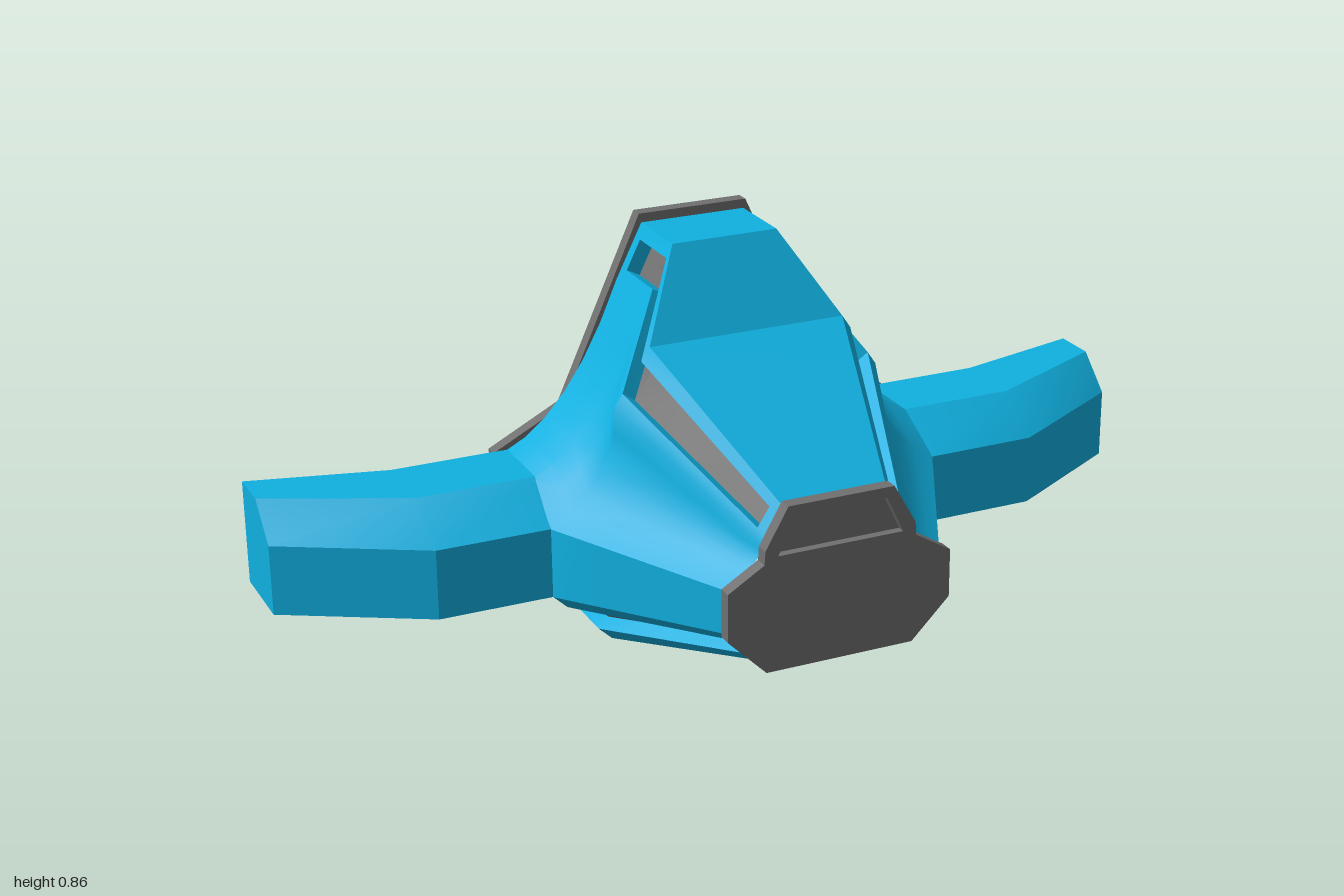
import * as THREE from 'three';
import { toCreasedNormals } from 'three/addons/utils/BufferGeometryUtils.js';

const BLUE = new THREE.MeshStandardMaterial({ color: 0x10b0e0 });
const GREY = new THREE.MeshStandardMaterial({ color: 0x707070 });

function add(parent, name, geometry, material) {
  const mesh = new THREE.Mesh(geometry, material);
  mesh.name = name;
  parent.add(mesh);
  return mesh;
}

// Skin over rings of [x, y, z]; each ring runs counter-clockwise seen from the first end.
function loft(rings, closed = true, capped = false) {
  const pos = [];
  const [u, v] = [new THREE.Vector3(), new THREE.Vector3()];
  const tri = (a, b, c) => {
    u.set(b[0] - a[0], b[1] - a[1], b[2] - a[2]);
    v.set(c[0] - a[0], c[1] - a[1], c[2] - a[2]);
    if (u.cross(v).length() > 1e-9) pos.push(...a, ...b, ...c);
  };
  const n = rings[0].length;
  for (let i = 0; i < rings.length - 1; i++) {
    for (let j = 0; j < (closed ? n : n - 1); j++) {
      const k = (j + 1) % n, p = rings[i], q = rings[i + 1];
      tri(p[j], q[j], q[k]);
      tri(p[j], q[k], p[k]);
    }
  }
  if (capped) {
    const p = rings[0], q = rings[rings.length - 1];
    for (let j = 1; j < n - 1; j++) {
      tri(p[0], p[j], p[j + 1]);
      tri(q[0], q[j + 1], q[j]);
    }
  }
  const g = new THREE.BufferGeometry();
  g.setAttribute('position', new THREE.Float32BufferAttribute(pos, 3));
  return toCreasedNormals(g, 0.5);
}

const mirrorRing = ring => ring.map(([x, y, z]) => [-x, y, z]).reverse();

// Half sections of the hull: bottom corner, chine, side top, fillet control, rail foot, top corner
const KEYS = [
  { z: 0.365, p: [[0.16, 0.118], [0.24, 0.195], [0.24, 0.29], [0.165, 0.335], [0.163, 0.373], [0.115, 0.447]] },
  { z: -0.04, p: [[0.32, 0.022], [0.45, 0.145], [0.45, 0.3], [0.305, 0.38], [0.303, 0.545], [0.222, 0.665]] },
  { z: -0.15, p: [[0.32, 0.022], [0.45, 0.145], [0.45, 0.37], [0.295, 0.43], [0.18, 0.72], [0.12, 0.84]] },
  { z: -0.313, p: [[0.32, 0.022], [0.45, 0.145], [0.45, 0.37], [0.295, 0.43], [0.18, 0.72], [0.12, 0.84]] },
];
const SLOT = [0.23, 0.76], DEPTH = 0.036;

function sectionAt(z) {
  let i = 0;
  while (i < KEYS.length - 2 && z < KEYS[i + 1].z) i++;
  const a = KEYS[i], b = KEYS[i + 1], t = (z - a.z) / (b.z - a.z);
  return a.p.map((p, k) => p.map((c, m) => c + (b.p[k][m] - c) * t));
}

// Point on the edge a-b at fraction t, pushed inward by d
function inset(a, b, t, d) {
  const dx = b[0] - a[0], dy = b[1] - a[1], l = Math.hypot(dx, dy);
  return [a[0] + dx * t - (dy / l) * d, a[1] + dy * t + (dx / l) * d];
}

const slotPoints = (a, b, d) => [
  inset(a, b, SLOT[0], 0), inset(a, b, SLOT[0], d), inset(a, b, SLOT[1], d), inset(a, b, SLOT[1], 0),
];

function hullRing(z, depth) {
  const [A, B, C, D, E, F] = sectionAt(z);
  const fillet = new THREE.QuadraticBezierCurve(...[C, D, E].map(p => new THREE.Vector2(...p)))
    .getPoints(6).map(p => [p.x, p.y]);
  const half = [A, ...slotPoints(A, B, depth), B, ...fillet, ...slotPoints(E, F, depth), F]
    .map(([x, y]) => [x, y, z]);
  return [...half, ...mirrorRing(half)];
}

function plate(points, z, thickness, hole) {
  const toShape = (pts, Type) => new Type([
    ...pts.map(([x, y]) => new THREE.Vector2(x, y)),
    ...pts.map(([x, y]) => new THREE.Vector2(-x, y)).reverse(),
  ]);
  const shape = toShape(points, THREE.Shape);
  if (hole) shape.holes.push(toShape(hole, THREE.Path));
  return new THREE.ExtrudeGeometry(shape, { depth: thickness, bevelEnabled: false }).translate(0, 0, z);
}

export function createModel() {
  const model = new THREE.Group();
  model.name = 'hullWithWings';

  // Hull with four sunken slots
  const slotZ = [0.34, 0.21, 0.08, -0.04, -0.095, -0.15, -0.287];
  const rings = [
    hullRing(0.365, 0), hullRing(0.34, 0),
    ...slotZ.map(z => hullRing(z, DEPTH)),
    hullRing(-0.287, 0), hullRing(-0.313, 0),
  ];
  add(model, 'hull', loft(rings), BLUE);

  // Grey strips lying in the slots
  for (const [name, i] of [['lowerStrip', 0], ['upperStrip', 4]]) {
    const strip = slotZ.map(z => {
      const s = sectionAt(z);
      return SLOT.map(t => [...inset(s[i], s[i + 1], t, DEPTH - 0.003), z]);
    });
    add(model, name + 'Left', loft(strip, false), GREY);
    add(model, name + 'Right', loft(strip.map(mirrorRing), false), GREY);
  }

  // Swept wings, from tip to root: [x, front z, bevel z, back z]
  const wing = [[1, -0.212, -0.29, -0.39], [0.7, -0.043, -0.15, -0.314], [0.42, -0.041, -0.15, -0.314]]
    .map(([x, front, bevel, back]) => [
      [x, 0.145, front], [x, 0.145, back], [x, 0.375, back], [x, 0.375, bevel], [x, 0.3, front],
    ]);
  add(model, 'wingLeft', loft(wing, true, true), BLUE);
  add(model, 'wingRight', loft(wing.map(mirrorRing), true, true), BLUE);

  // Back plate
  add(model, 'backPlate', plate(
    [[0.325, 0], [0.472, 0.137], [0.472, 0.372], [0.31, 0.455], [0.125, 0.86]], -0.343, 0.03), GREY);

  // Nose plate with a recessed slot near its top
  const nose = [[0.165, 0.105], [0.25, 0.19], [0.25, 0.295], [0.17, 0.343], [0.168, 0.372], [0.118, 0.46]];
  const noseSlot = [[0.14, 0.357], [0.102, 0.437]];
  add(model, 'nosePlateBase', plate(nose, 0.363, 0.012), GREY);
  add(model, 'nosePlateFace', plate(nose, 0.375, 0.018, noseSlot), GREY);

  return model;
}
